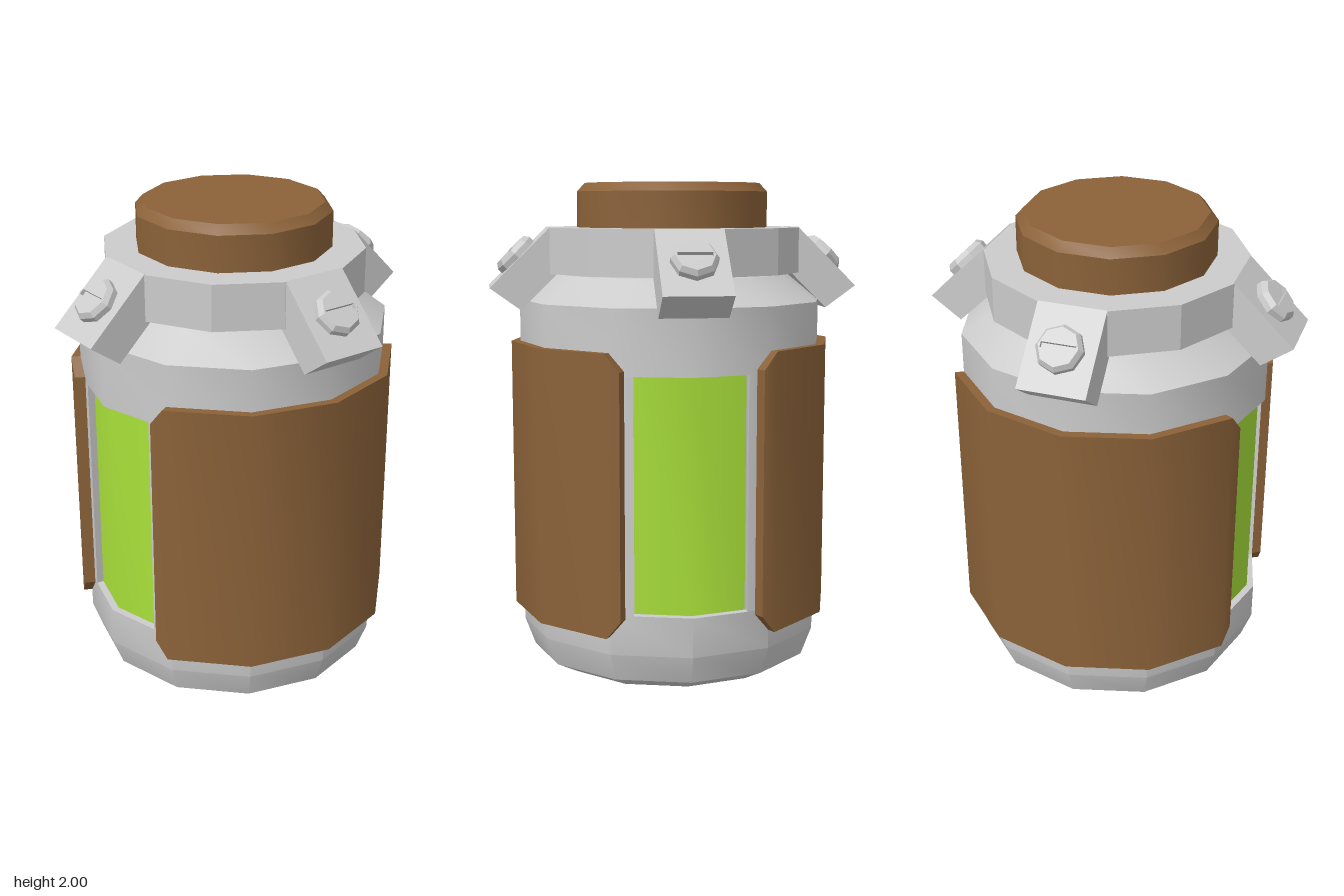
import * as THREE from 'three';
import { toCreasedNormals } from 'three/addons/utils/BufferGeometryUtils.js';

const DEG = Math.PI / 180;
const CREASE = 35 * DEG;
const grey = new THREE.MeshStandardMaterial({ color: 0xcccccc });
const greyThin = new THREE.MeshStandardMaterial({ color: 0xcccccc, side: THREE.DoubleSide });
const brown = new THREE.MeshStandardMaterial({ color: 0x8b6239 });
const lime = new THREE.MeshStandardMaterial({ color: 0xa9e03a, side: THREE.DoubleSide });

function add(parent, name, geometry, material, crease = CREASE) {
  const mesh = new THREE.Mesh(toCreasedNormals(geometry, crease), material);
  mesh.name = name;
  parent.add(mesh);
  return mesh;
}

// Turned part from [radius, height] pairs, listed bottom to top
function lathe(profile, sides = 12, start = 0) {
  return new THREE.LatheGeometry(profile.map(([r, y]) => new THREE.Vector2(r, y)), sides, start);
}

function shapeOf(points) {
  return new THREE.Shape(points.map(([x, y]) => new THREE.Vector2(x, y)));
}

// Point on a circle, angle in degrees from +x towards +z
const polar = (r, a) => [r * Math.cos(a * DEG), r * Math.sin(a * DEG)];

const R = 0.63, LOW = 0.325, HIGH = 1.265;     // body radius, window bottom and top
const WIN = 0.225, DEPTH = 0.033;              // window half width and recess depth
const slope = Math.tan(15 * DEG);              // fall of the wall away from its front corner

// Straight middle of the body, notched front and back for the windows
function bodyMiddle() {
  const half = [];
  for (let a = 0; a <= 60; a += 30) half.push(polar(R, a));
  const edge = R - WIN * slope;
  half.push([WIN, edge], [WIN, edge - DEPTH], [0, R - DEPTH], [-WIN, edge - DEPTH], [-WIN, edge]);
  for (let a = 120; a < 180; a += 30) half.push(polar(R, a));
  const loop = [...half, ...half.map(([x, z]) => [-x, -z])];
  const geo = new THREE.ExtrudeGeometry(shapeOf(loop), { depth: HIGH - LOW, bevelEnabled: false });
  return geo.rotateX(-Math.PI / 2).translate(0, LOW, 0);
}

// Bent pane lying on the recess floor
function windowPane() {
  const w = WIN - 0.006, z = R - DEPTH + 0.004, t = 0.012;
  const pts = [[-w, z - w * slope], [-w, z - w * slope - t], [0, z - t], [w, z - w * slope - t], [w, z - w * slope], [0, z]];
  const geo = new THREE.ExtrudeGeometry(shapeOf(pts.map(([x, d]) => [x, -d])), { depth: HIGH - LOW - 0.004, bevelEnabled: false });
  return geo.rotateX(-Math.PI / 2).translate(0, LOW + 0.002, 0);
}

// Wrapped side panel with clipped corners, swept through upright cross-sections
function sidePanel() {
  const R1 = 0.667, R0 = 0.615;
  const end = (s) => ({ o: [0.28, s * 0.597], i: [0.254, s * 0.555], y: [0.31, 1.285] });
  const columns = [end(-1)];
  for (let a = -60; a <= 60; a += 30) columns.push({ o: polar(R1, a), i: polar(R0, a), y: [0.24, 1.355] });
  columns.push(end(1));
  const pos = [], idx = [];
  for (const { o, i, y } of columns) {
    pos.push(o[0], y[0], o[1], o[0], y[1], o[1], i[0], y[1], i[1], i[0], y[0], i[1]);
  }
  const last = columns.length - 1;
  for (let c = 0; c < last; c++) {
    for (let k = 0; k < 4; k++) {
      const a = c * 4 + k, b = c * 4 + (k + 1) % 4;
      idx.push(a, b, b + 4, a, b + 4, a + 4);
    }
  }
  const e = last * 4;
  idx.push(0, 3, 2, 0, 2, 1, e, e + 1, e + 2, e, e + 2, e + 3);
  const geo = new THREE.BufferGeometry();
  geo.setAttribute('position', new THREE.Float32BufferAttribute(pos, 3));
  geo.setIndex(idx);
  return geo;
}

// Slotted screw head standing on y = 0
function makeScrew() {
  const screw = new THREE.Group();
  screw.name = 'screw';
  add(screw, 'screwRim', lathe([[0.093, 0], [0.093, 0.025], [0.078, 0.045]], 8), grey, 0.1);
  const face = shapeOf(Array.from({ length: 8 }, (_, k) => polar(0.078, k * 45)));
  face.holes.push(new THREE.Path([[-0.068, -0.011], [-0.068, 0.011], [0.068, 0.011], [0.068, -0.011]]
    .map(([x, y]) => new THREE.Vector2(x, y))));
  const top = new THREE.ExtrudeGeometry(face, { depth: 0.015, bevelEnabled: false });
  add(screw, 'screwFace', top.rotateX(-Math.PI / 2).translate(0, 0.03, 0), grey);
  add(screw, 'slotFloor', new THREE.CircleGeometry(0.076, 8).rotateX(-Math.PI / 2).translate(0, 0.03, 0), grey);
  return screw;
}

// Slanted shoulder block with its screw, on the +z side
function makeClamp() {
  const clamp = new THREE.Group();
  clamp.name = 'clamp';
  const side = shapeOf([[0.51, 1.822], [0.4, 1.715], [0.63, 1.49], [0.755, 1.58]]);
  const block = new THREE.ExtrudeGeometry(side, { depth: 0.27, bevelEnabled: false });
  add(clamp, 'clampBlock', block.translate(0, 0, -0.135).rotateY(-Math.PI / 2), grey);
  const screw = makeScrew();
  screw.position.set(0, 1.698, 0.634);
  screw.rotation.x = 45 * DEG;
  clamp.add(screw);
  return clamp;
}

export function createModel() {
  const model = new THREE.Group();
  model.name = 'canister';

  // Body
  add(model, 'bodyBase', lathe([[0, 0], [0.49, 0], [0.587, 0.05], [R, 0.165], [R, LOW], [0, LOW]]), grey);
  add(model, 'bodyMiddle', bodyMiddle(), grey);
  add(model, 'bodyShoulder', lathe([[0, HIGH], [R, HIGH], [R, 1.525], [0.49, 1.63], [0, 1.63]]), grey);

  // Collar, hollow underneath, and cap
  add(model, 'collar', lathe([[0.53, 1.635], [0.53, 1.82], [0.37, 1.82]], 12, 15 * DEG), greyThin, 0.1);
  add(model, 'cap', lathe([[0, 1.6], [0.397, 1.6], [0.397, 1.965], [0.365, 2], [0, 2]], 12, 15 * DEG), brown);

  // Windows front and back, panels left and right
  for (let k = 0; k < 2; k++) {
    add(model, k ? 'backWindow' : 'frontWindow', windowPane(), lime).rotation.y = k * Math.PI;
    add(model, k ? 'rightPanel' : 'leftPanel', sidePanel(), brown).rotation.y = k * Math.PI;
  }

  // Four clamps around the collar
  for (let k = 0; k < 4; k++) {
    const clamp = makeClamp();
    clamp.rotation.y = k * Math.PI / 2;
    model.add(clamp);
  }
  return model;
}
